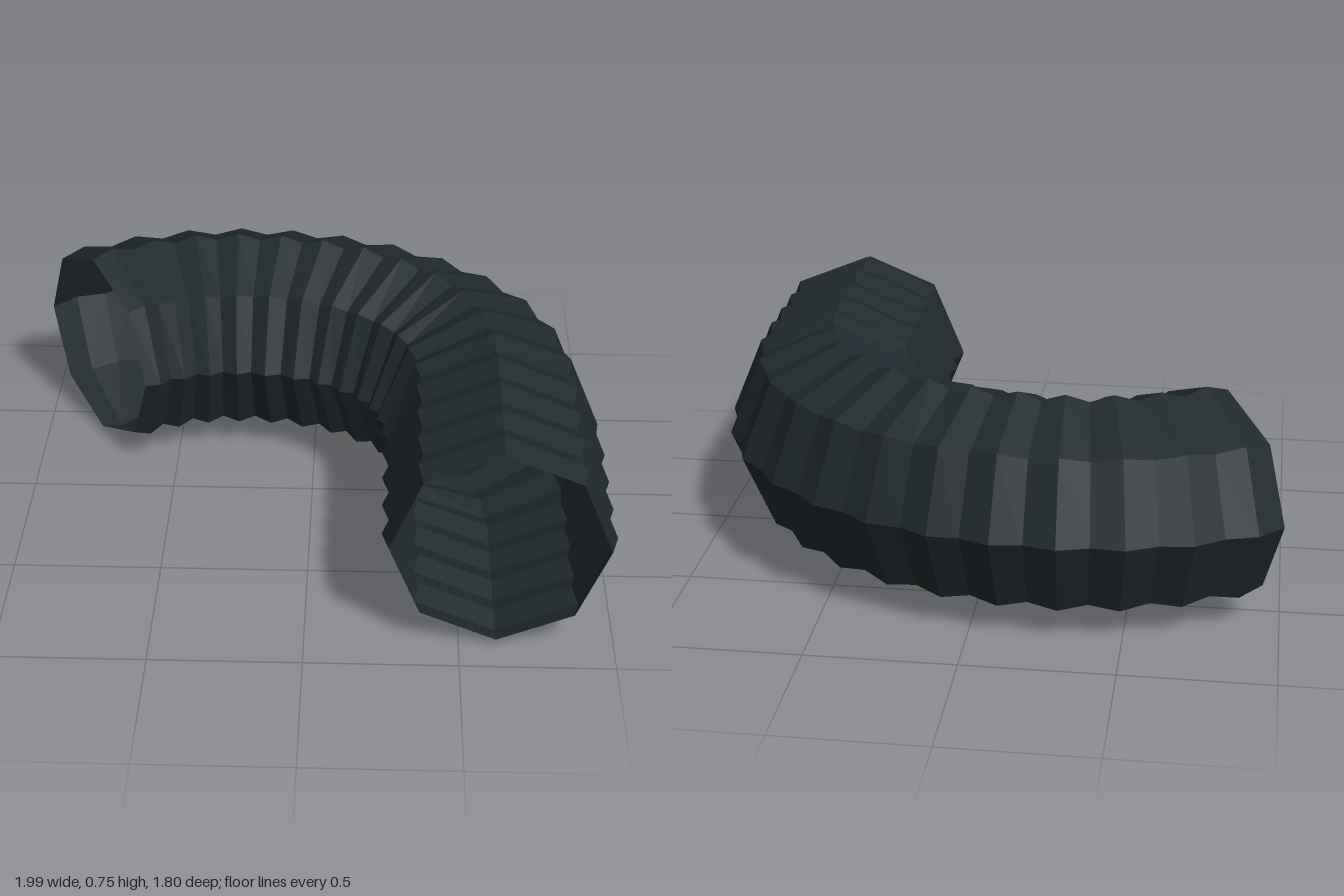
import * as THREE from 'three';

const SIDES = 8;
const RINGS = 32;              // ring spans along the hose
const STEP = 0.0802;           // spacing of rings on the centre line
const PEAK = 0.374, VALLEY = 0.351;

// Heading of the centre line in degrees at every second ring (0 = toward the back, 90 = toward -x)
const HEADINGS = [0, 0, 0, 0, 1, 11, 23, 38, 50, 60, 71, 79, 87, 96, 106, 116, 125.4];

function headingAt(ring) {
  const k = Math.min(ring / 2, HEADINGS.length - 1);
  const i = Math.min(Math.floor(k), HEADINGS.length - 2);
  return THREE.MathUtils.degToRad(THREE.MathUtils.lerp(HEADINGS[i], HEADINGS[i + 1], k - i));
}

// Bent bellows: octagonal rings alternating between valley and peak, swept along the bend
function bellowsGeometry() {
  const positions = [], index = [];
  let x = 0.62, z = 0.89;
  for (let i = 0; i <= RINGS; i++) {
    const h = headingAt(i);
    const r = i % 2 ? PEAK : VALLEY;
    for (let j = 0; j < SIDES; j++) {
      const a = (j / SIDES) * Math.PI * 2;
      const out = r * Math.cos(a);
      positions.push(x + out * Math.cos(h), PEAK + r * Math.sin(a), z - out * Math.sin(h));
    }
    const mid = headingAt(i + 0.5);
    x -= STEP * 0.975 * Math.sin(mid);
    z -= STEP * Math.cos(mid);
  }
  for (let i = 0; i < RINGS; i++) {
    for (let j = 0; j < SIDES; j++) {
      const k = (j + 1) % SIDES;
      const a = i * SIDES + j, b = a + SIDES;
      const c = i * SIDES + k, d = c + SIDES;
      index.push(a, b, c, b, d, c);
    }
  }
  const indexed = new THREE.BufferGeometry();
  indexed.setAttribute('position', new THREE.Float32BufferAttribute(positions, 3));
  indexed.setIndex(index);
  const geometry = indexed.toNonIndexed();
  geometry.computeVertexNormals();
  return geometry;
}

export function createModel() {
  const group = new THREE.Group();
  group.name = 'corrugatedHose';

  // Thin wall, open at both ends
  const rubber = new THREE.MeshStandardMaterial({
    color: 0x20292d, flatShading: true, side: THREE.DoubleSide,
  });
  const hose = new THREE.Mesh(bellowsGeometry(), rubber);
  hose.name = 'hoseWall';
  group.add(hose);
  return group;
}
